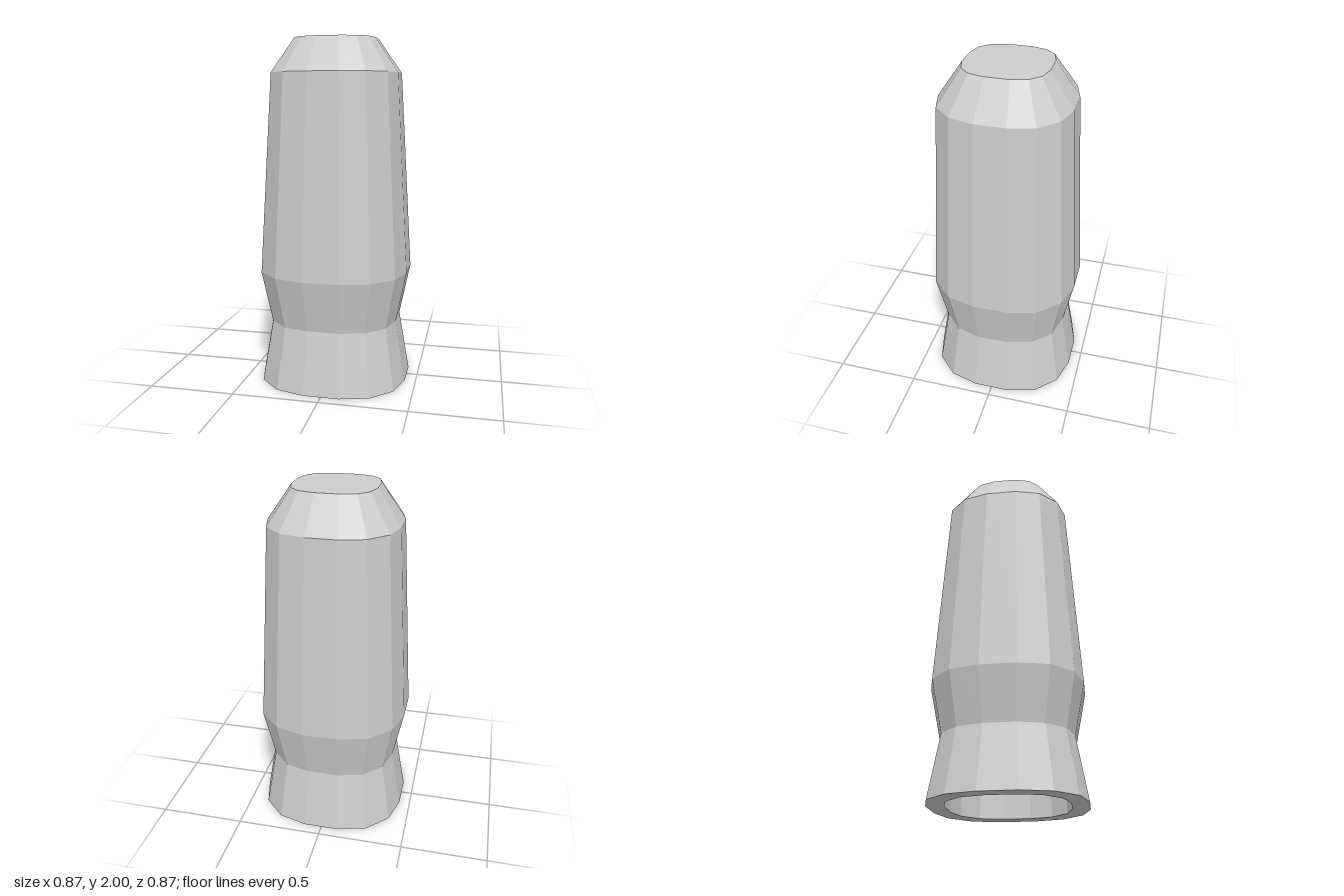
import * as THREE from 'three';

// Rounded-square ring of 16 points: c = flat distance, a = half flat width,
// (d, b) = corner point, y = height
function ring({ y, c, a, d, b }) {
  const quarter = [[c, -a], [c, a], [d, b], [b, d]];
  const points = [];
  for (let q = 0; q < 4; q++) {
    for (let [x, z] of quarter) {
      for (let k = 0; k < q; k++) [x, z] = [-z, x];
      points.push(new THREE.Vector3(x, y, z));
    }
  }
  return points;
}

// Ring with the standard body proportions
const bodyRing = (y, c) => ring({ y, c, a: c * 0.238, d: c * 0.896, b: c * 0.62 });

function facetMesh(name, triangles, material) {
  const geometry = new THREE.BufferGeometry().setFromPoints(triangles);
  geometry.computeVertexNormals();
  const mesh = new THREE.Mesh(geometry, material);
  mesh.name = name;
  return mesh;
}

// Faceted wall through successive rings; rising rings face outward
function loft(rings) {
  const out = [];
  for (let r = 0; r < rings.length - 1; r++) {
    const low = rings[r], up = rings[r + 1];
    for (let i = 0; i < low.length; i++) {
      const j = (i + 1) % low.length;
      out.push(low[i], up[i], up[j], low[i], up[j], low[j]);
    }
  }
  return out;
}

// Flat lid over a ring
function lid(points, facesUp) {
  const centre = new THREE.Vector3(0, points[0].y, 0);
  return points.flatMap((p, i) => {
    const next = points[(i + 1) % points.length];
    return facesUp ? [centre, next, p] : [centre, p, next];
  });
}

export function createModel() {
  const group = new THREE.Group();
  group.name = 'hollowCap';
  const grey = new THREE.MeshStandardMaterial({ color: 0xcccccc, flatShading: true });
  grey.name = 'light grey';

  // Flared foot, waist, tapering body and bevelled shoulder
  const foot = bodyRing(0, 0.436);
  const top = ring({ y: 2, c: 0.234, a: 0.065, d: 0.21, b: 0.155 });
  const outer = [foot, bodyRing(0.36, 0.375), bodyRing(0.66, 0.436), bodyRing(1.805, 0.368), top];
  group.add(facetMesh('outerShell', loft(outer), grey));
  group.add(facetMesh('flatTop', lid(top, true), grey));

  // Open underside with a thick rim and straight bore
  const mouth = bodyRing(0, 0.338);
  const ceiling = bodyRing(1.7, 0.338);
  group.add(facetMesh('bottomRim', loft([mouth, foot]), grey));
  group.add(facetMesh('bore', loft([ceiling, mouth]), grey));
  group.add(facetMesh('boreCeiling', lid(ceiling, false), grey));
  return group;
}
